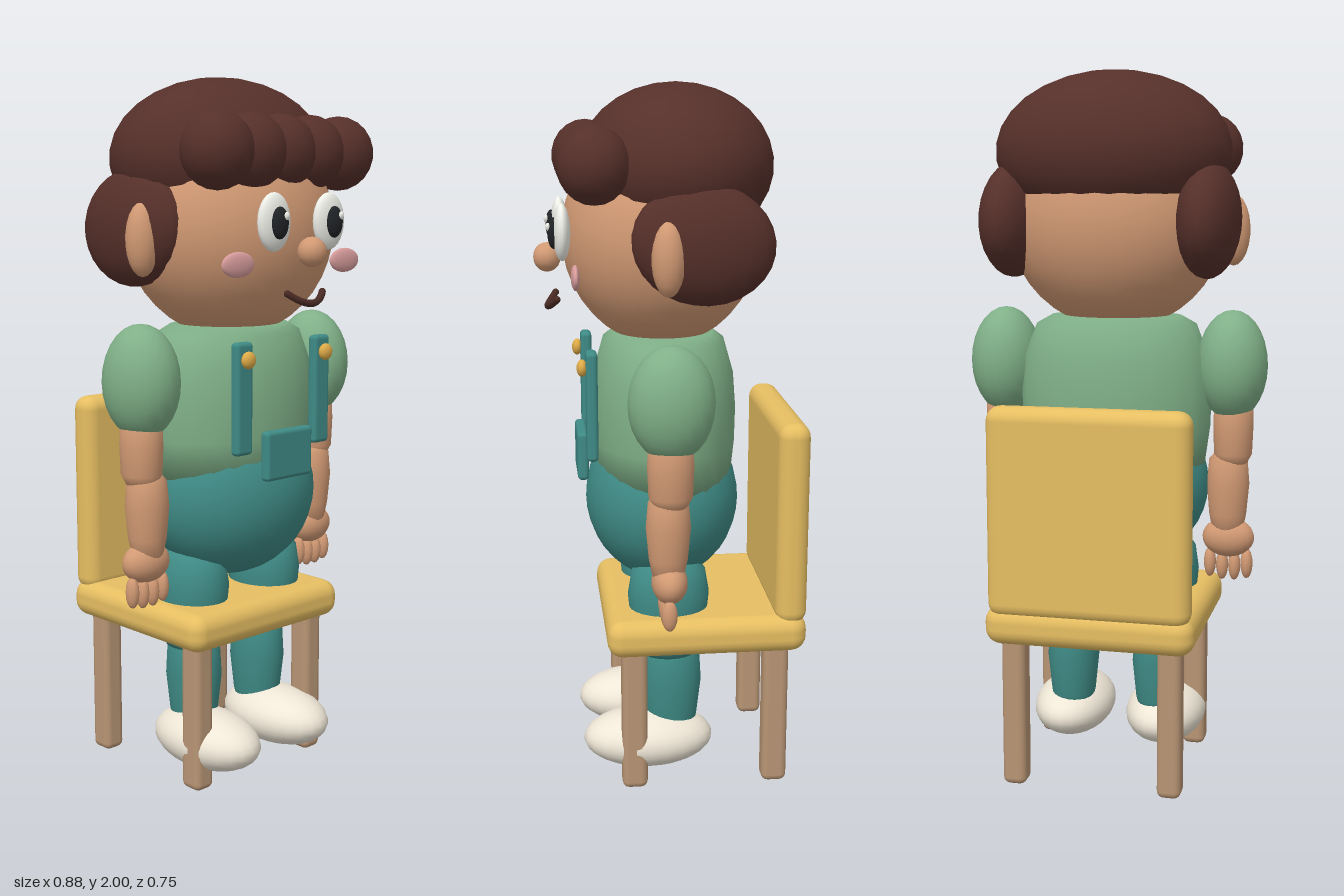
import * as THREE from 'three';
import { RoundedBoxGeometry } from 'three/addons/geometries/RoundedBoxGeometry.js';

const mat = (color) => new THREE.MeshStandardMaterial({ color });
const M = {
  skin: mat(0xd29a74), hair: mat(0x56302a), shirt: mat(0x80b088), pants: mat(0x3f8b86),
  shoe: mat(0xeee6d6), seat: mat(0xe6be62), wood: mat(0xb89574), eye: mat(0xf0f0ea),
  pupil: mat(0x202326), cheek: mat(0xdc9f9f), mouth: mat(0x4a2a24), gold: mat(0xe0ac48),
};

function add(parent, name, geometry, material, x = 0, y = 0, z = 0) {
  const mesh = new THREE.Mesh(geometry, material);
  mesh.name = name;
  mesh.position.set(x, y, z);
  parent.add(mesh);
  return mesh;
}

// Ellipsoid given by centre and radii
function ball(parent, name, material, [x, y, z], [rx, ry, rz], seg = 20) {
  const g = new THREE.SphereGeometry(1, seg, Math.round(seg * 0.7)).scale(rx, ry, rz);
  return add(parent, name, g, material, x, y, z);
}

// Rounded box given by centre and size
function block(parent, name, material, [x, y, z], [w, h, d], r, seg = 3) {
  return add(parent, name, new RoundedBoxGeometry(w, h, d, seg, r), material, x, y, z);
}

// Turned shape with an oval section; profile runs bottom to top as [radius, y]
function turned(parent, name, material, profile, x, z, depth) {
  const pts = profile.map(([r, y]) => new THREE.Vector2(r, y));
  return add(parent, name, new THREE.LatheGeometry(pts, 24).scale(1, 1, depth), material, x, 0, z);
}

function buildChair() {
  const chair = new THREE.Group();
  chair.name = 'chair';
  block(chair, 'seat', M.seat, [0, 0.475, -0.09], [0.59, 0.11, 0.57], 0.045);
  block(chair, 'backrest', M.seat, [0, 0.795, -0.33], [0.57, 0.59, 0.09], 0.04);
  for (const x of [-0.222, 0.222]) {
    block(chair, 'frontChairLeg', M.wood, [x, 0.225, 0.117], [0.068, 0.45, 0.074], 0.02, 2);
    block(chair, 'rearChairLeg', M.wood, [x, 0.225, -0.292], [0.068, 0.45, 0.074], 0.02, 2);
  }
  return chair;
}

function buildHead() {
  const head = new THREE.Group();
  head.name = 'head';
  ball(head, 'face', M.skin, [0, 1.585, 0.015], [0.315, 0.31, 0.28], 28);
  ball(head, 'nose', M.skin, [0, 1.525, 0.336], [0.041, 0.041, 0.039], 14);

  // Hair cap and a row of curls for the fringe
  ball(head, 'hairCap', M.hair, [0, 1.775, -0.025], [0.337, 0.225, 0.272], 22);
  for (const x of [-0.232, -0.112, 0, 0.112, 0.232]) {
    ball(head, 'fringeCurl', M.hair, [x, 1.79, 0.214], [0.102, 0.103, 0.098], 16);
  }

  for (const s of [-1, 1]) {
    const sideHair = ball(head, 'sideHair', M.hair, [s * 0.278, 1.588, -0.068], [0.09, 0.162, 0.195]);
    sideHair.rotation.x = -0.15;
    ball(head, 'ear', M.skin, [s * 0.335, 1.558, 0.03], [0.047, 0.1, 0.045], 16);
    ball(head, 'eyeWhite', M.eye, [s * 0.106, 1.605, 0.297], [0.058, 0.078, 0.024]);
    ball(head, 'pupil', M.pupil, [s * 0.106, 1.603, 0.319], [0.029, 0.043, 0.017], 14);
    ball(head, 'eyeGlint', M.eye, [s * 0.106 + 0.011, 1.621, 0.334], [0.009, 0.011, 0.007], 8);
    ball(head, 'cheek', M.cheek, [s * 0.207, 1.495, 0.266], [0.06, 0.034, 0.012], 16);
  }

  // Smile
  const smile = new THREE.QuadraticBezierCurve3(
    new THREE.Vector3(-0.068, 1.415, 0.312),
    new THREE.Vector3(0, 1.36, 0.36),
    new THREE.Vector3(0.068, 1.415, 0.312));
  add(head, 'mouth', new THREE.TubeGeometry(smile, 14, 0.01, 8), M.mouth);
  for (const t of [0, 1]) {
    const p = smile.getPoint(t);
    ball(head, 'mouthCorner', M.mouth, p.toArray(), [0.01, 0.01, 0.01], 8);
  }
  return head;
}

function buildTorso() {
  const torso = new THREE.Group();
  torso.name = 'torso';
  turned(torso, 'shirt', M.shirt,
    [[0, 0.89], [0.262, 0.89], [0.277, 1.0], [0.28, 1.1], [0.27, 1.2], [0.235, 1.29], [0.19, 1.315], [0, 1.32]],
    0, 0.01, 0.74);
  ball(torso, 'trouserSeat', M.pants, [0, 0.825, 0.015], [0.272, 0.245, 0.222], 28);
  for (const s of [-1, 1]) {
    block(torso, 'strap', M.pants, [s * 0.152, 1.13, 0.224], [0.062, 0.31, 0.032], 0.012);
    ball(torso, 'button', M.gold, [s * 0.152, 1.238, 0.25], [0.024, 0.024, 0.015], 12);
  }
  block(torso, 'bibPocket', M.pants, [0, 0.965, 0.247], [0.18, 0.14, 0.032], 0.012);
  return torso;
}

function buildArm(s) {
  const arm = new THREE.Group();
  arm.name = s > 0 ? 'leftArm' : 'rightArm';
  ball(arm, 'sleeve', M.shirt, [s * 0.337, 1.175, 0.022], [0.102, 0.158, 0.118]);
  turned(arm, 'upperArm', M.skin,
    [[0, 0.88], [0.04, 0.89], [0.055, 0.92], [0.058, 1.0], [0.055, 1.1], [0, 1.11]], s * 0.342, 0.025, 1.1);
  turned(arm, 'forearm', M.skin,
    [[0, 0.66], [0.04, 0.67], [0.054, 0.74], [0.062, 0.83], [0.056, 0.9], [0.035, 0.925], [0, 0.93]],
    s * 0.328, 0.03, 1);
  ball(arm, 'hand', M.skin, [s * 0.331, 0.67, 0.027], [0.076, 0.058, 0.05]);
  for (let i = 0; i < 4; i++) {
    const y = i === 0 || i === 3 ? 0.592 : 0.585;
    ball(arm, 'finger', M.skin, [s * (0.277 + i * 0.036), y, 0.032], [0.018, 0.045, 0.022], 12);
  }
  return arm;
}

function buildLeg(s) {
  const leg = new THREE.Group();
  leg.name = s > 0 ? 'leftLeg' : 'rightLeg';
  turned(leg, 'thigh', M.pants,
    [[0, 0.385], [0.07, 0.388], [0.077, 0.42], [0.094, 0.5], [0.1, 0.57], [0.09, 0.64], [0.06, 0.675], [0, 0.69]],
    s * 0.146, 0.01, 1.18);
  turned(leg, 'shin', M.pants,
    [[0, 0.12], [0.055, 0.13], [0.065, 0.18], [0.076, 0.29], [0.072, 0.37], [0.055, 0.42], [0, 0.43]],
    s * 0.13, 0, 1.16);
  ball(leg, 'shoe', M.shoe, [s * 0.142, 0.116, 0.07], [0.118, 0.084, 0.19], 24);
  return leg;
}

export function createModel() {
  const model = new THREE.Group();
  model.name = 'childOnChair';
  model.add(buildChair(), buildHead(), buildTorso());
  for (const s of [-1, 1]) model.add(buildArm(s), buildLeg(s));
  return model;
}
